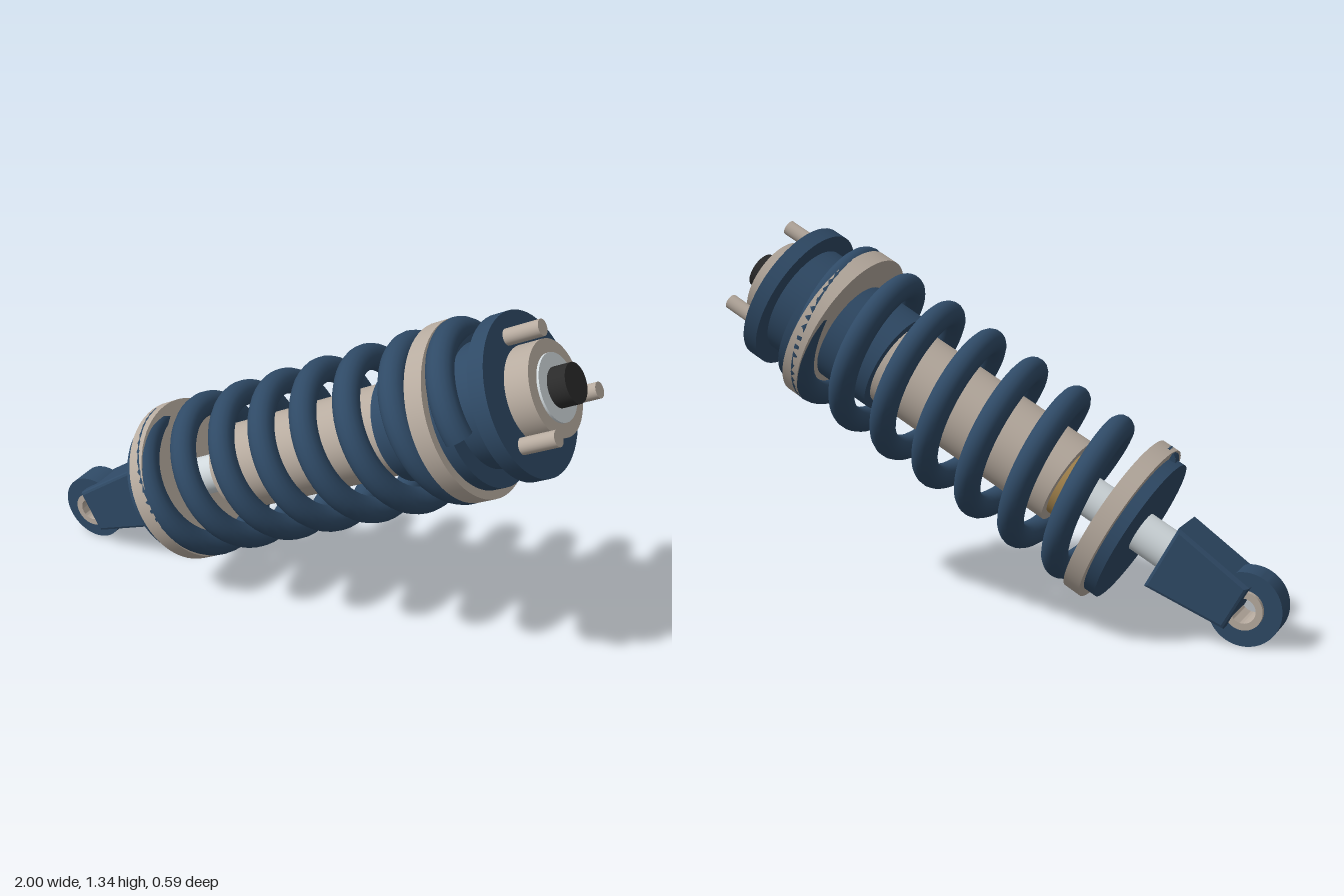
import * as THREE from 'three';
import { toCreasedNormals } from 'three/addons/utils/BufferGeometryUtils.js';

const material = (name, color) => {
  const m = new THREE.MeshStandardMaterial({ color });
  m.name = name;
  return m;
};

// Coil path: starts at the top of the lower seat and winds towards the front
class Helix extends THREE.Curve {
  constructor(radius, start, pitch, turns) {
    super();
    Object.assign(this, { radius, start, pitch, turns });
  }
  getPoint(t, target = new THREE.Vector3()) {
    const a = t * this.turns * Math.PI * 2;
    return target.set(-this.radius * Math.cos(a), this.start + this.pitch * this.turns * t, this.radius * Math.sin(a));
  }
}

export function createModel() {
  const navy = material('navy paint', 0x2f4a66);
  const beige = material('warm metal', 0xb8aca0);
  const silver = material('polished rod', 0xd0d8dc);
  const black = material('black rubber', 0x2b2b2b);
  const gold = material('gold seal', 0xa8874f);

  const model = new THREE.Group();
  model.name = 'shockAbsorber';

  // Built along local y from the eye, then leaned over; local -x is the upper side
  const strut = new THREE.Group();
  strut.name = 'strut';
  strut.position.set(-0.877, 0.125, 0);
  strut.rotation.z = -THREE.MathUtils.degToRad(60.7);
  model.add(strut);

  const add = (name, geometry, mat) => {
    const mesh = new THREE.Mesh(geometry, mat);
    mesh.name = name;
    strut.add(mesh);
    return mesh;
  };
  const cylinder = (name, r, from, to, mat, x = 0, z = 0, sides = 64) =>
    add(name, new THREE.CylinderGeometry(r, r, to - from, sides).translate(x, (from + to) / 2, z), mat);

  // Ring with its axis along z
  const ring = (name, outer, inner, half, mat) => {
    const shape = new THREE.Shape().absarc(0, 0, outer, 0, Math.PI * 2);
    shape.holes.push(new THREE.Path().absarc(0, 0, inner, 0, Math.PI * 2, true));
    const g = new THREE.ExtrudeGeometry(shape, { depth: half * 2, bevelEnabled: false, curveSegments: 40 });
    add(name, toCreasedNormals(g.translate(0, 0, -half), 0.6), mat);
  };

  // Lower mounting eye and tapered clevis
  ring('lowerEye', 0.125, 0.06, 0.052, navy);
  ring('eyeBushing', 0.065, 0.042, 0.07, beige);
  const b = 0.012;
  const taper = new THREE.Shape([
    new THREE.Vector2(-0.085 + b, 0.02 + b), new THREE.Vector2(0.085 - b, 0.02 + b),
    new THREE.Vector2(0.118 - b, 0.315 - b), new THREE.Vector2(-0.118 + b, 0.315 - b),
  ]);
  const clevis = new THREE.ExtrudeGeometry(taper, {
    depth: 0.196 - 2 * b, bevelSize: b, bevelThickness: b, bevelSegments: 2,
  });
  add('clevis', clevis.translate(0, 0, -0.098 + b), navy);

  // Rod, seal and damper body
  cylinder('pistonRod', 0.07, 0.3, 0.75, silver);
  cylinder('rodSeal', 0.125, 0.705, 0.74, gold);
  cylinder('damperBody', 0.155, 0.73, 1.6, beige);
  cylinder('upperSleeve', 0.185, 1.475, 1.76, navy);

  // Spring seats
  cylinder('lowerSeatPlate', 0.265, 0.43, 0.473, navy);
  cylinder('lowerSeatRing', 0.294, 0.473, 0.535, beige);
  cylinder('upperSeatRing', 0.294, 1.69, 1.755, beige);
  cylinder('upperSeatPlate', 0.265, 1.755, 1.8, navy);

  // Coil spring with flat ends
  const helix = new Helix(0.25, 0.49, 0.183, 7.25);
  const wire = 0.045;
  add('coilSpring', new THREE.TubeGeometry(helix, 360, wire, 16), navy);
  for (const t of [0, 1]) {
    const cap = add('springEnd', new THREE.CircleGeometry(wire, 16), navy);
    const outward = helix.getTangent(t).multiplyScalar(t ? 1 : -1);
    cap.position.copy(helix.getPoint(t));
    cap.quaternion.setFromUnitVectors(new THREE.Vector3(0, 0, 1), outward);
  }

  // Top mount
  cylinder('mountNeck', 0.205, 1.8, 1.905, navy);
  cylinder('mountFlange', 0.266, 1.903, 1.96, navy);
  cylinder('mountHub', 0.155, 1.96, 2.045, beige);
  cylinder('hubWasher', 0.11, 2.04, 2.053, silver);
  cylinder('topNut', 0.065, 2.05, 2.115, black);

  // Three mounting studs
  for (let i = 0; i < 3; i++) {
    const a = (i * Math.PI * 2) / 3;
    cylinder('mountStud', 0.027, 1.95, 2.085, beige, -0.195 * Math.cos(a), 0.195 * Math.sin(a), 24);
  }

  return model;
}
